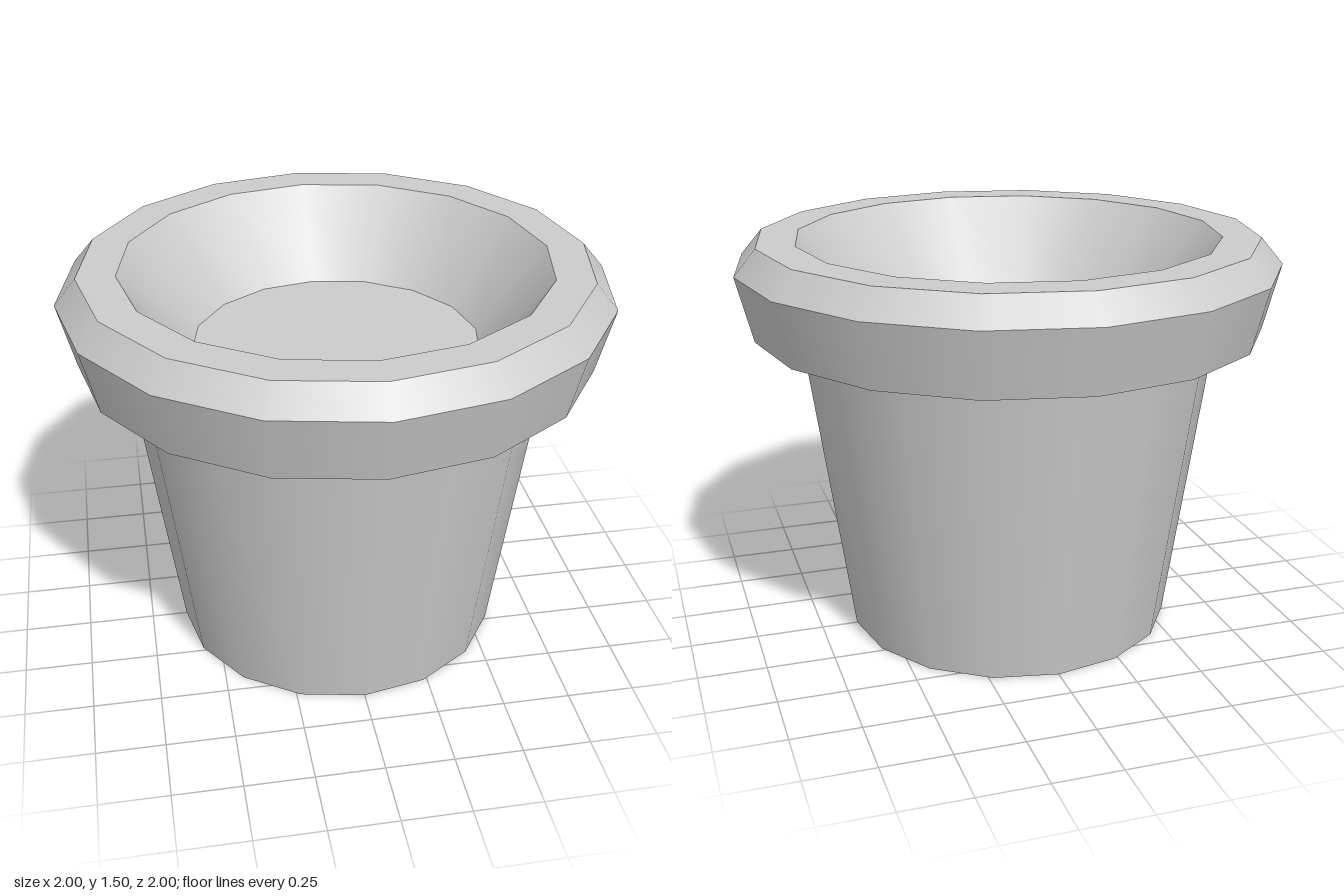
import * as THREE from 'three';
import { mergeGeometries } from 'three/addons/utils/BufferGeometryUtils.js';

const SIDES = 16;

// Revolve a profile of [radius, y] points, one band per segment: smooth around, sharp between bands
function bands(profile) {
  const parts = [];
  for (let i = 0; i < profile.length - 1; i++) {
    const ends = [profile[i], profile[i + 1]].map(([r, y]) => new THREE.Vector2(r, y));
    parts.push(new THREE.LatheGeometry(ends, SIDES));
  }
  return mergeGeometries(parts);
}

export function createModel() {
  const group = new THREE.Group();
  const material = new THREE.MeshStandardMaterial({ color: 0xcccccc });
  const add = (name, profile) => {
    const mesh = new THREE.Mesh(bands(profile), material);
    mesh.name = name;
    group.add(mesh);
  };

  // Closed base and tapered wall
  add('potBody', [[0, 0], [0.615, 0], [0.775, 1.16]]);
  // Overhanging collar: underside, flared side, bevel, flat lip
  add('rim', [[0.775, 1.16], [0.94, 1.16], [1, 1.4], [0.92, 1.495], [0.78, 1.495]]);
  // Sloping inside wall down to the shallow floor
  add('innerWall', [[0.78, 1.495], [0.53, 1.18]]);
  add('innerFloor', [[0.53, 1.18], [0, 1.18]]);

  return group;
}
